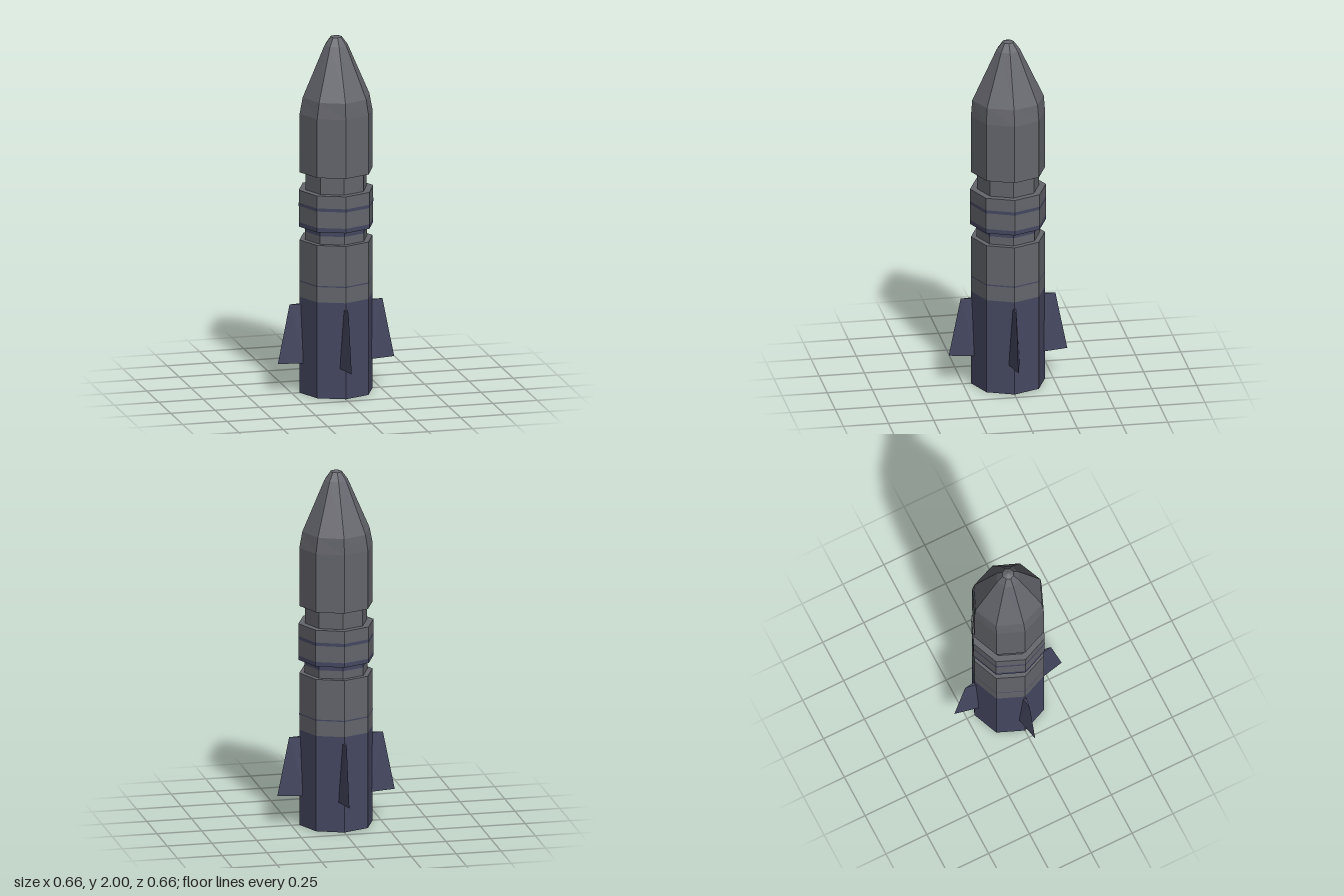
import * as THREE from 'three';
import { ConvexGeometry } from 'three/addons/geometries/ConvexGeometry.js';

const SIDES = 8;

// Eight-sided solid turned from [radius, height] pairs, bottom to top, with hard facets
function turned(name, profile, material) {
  const points = profile.map(([r, y]) => new THREE.Vector2(r, y));
  const geometry = new THREE.LatheGeometry(points, SIDES).toNonIndexed();
  geometry.computeVertexNormals();
  const mesh = new THREE.Mesh(geometry, material);
  mesh.name = name;
  return mesh;
}

// Wedge fin pointing along +z, wider and longer at the bottom
function finGeometry() {
  const corners = [];
  for (const [y, half, reach] of [[0.17, 0.032, 0.328], [0.5, 0.012, 0.262]]) {
    corners.push(
      new THREE.Vector3(-half, y, 0.18),
      new THREE.Vector3(half, y, 0.18),
      new THREE.Vector3(0, y, reach)
    );
  }
  return new ConvexGeometry(corners);
}

export function createModel() {
  const grey = new THREE.MeshStandardMaterial({ color: 0x65666d });
  grey.name = 'hull grey';
  const blue = new THREE.MeshStandardMaterial({ color: 0x454861 });
  blue.name = 'dark blue';

  const rocket = new THREE.Group();
  rocket.name = 'rocket';

  // Engine section and lower hull
  rocket.add(turned('engineSection', [[0, 0], [0.205, 0], [0.205, 0.54]], blue));
  rocket.add(turned('lowerHull', [[0.205, 0.54], [0.205, 0.86], [0.175, 0.86]], grey));
  rocket.add(turned('hullSeam', [[0.2055, 0.626], [0.2055, 0.633]], blue));

  // Recessed lower neck with a painted upper half
  rocket.add(turned('lowerNeck', [[0.175, 0.86], [0.175, 0.905]], grey));
  rocket.add(turned('neckBand', [[0.175, 0.905], [0.175, 0.935]], blue));

  // Collar with painted bottom edge and stripe
  rocket.add(turned('collarEdge', [[0.175, 0.935], [0.21, 0.935], [0.21, 0.96]], blue));
  rocket.add(turned('collar', [[0.21, 0.96], [0.21, 1.14], [0.17, 1.14]], grey));
  rocket.add(turned('collarStripe', [[0.2108, 1.052], [0.2108, 1.07]], blue));

  // Recessed upper neck
  rocket.add(turned('upperNeck', [[0.172, 1.14], [0.172, 1.24]], grey));

  // Upper hull and tapering nose
  const nose = turned('upperHullAndNose', [
    [0.172, 1.24], [0.205, 1.24], [0.205, 1.57], [0.198, 1.66],
    [0.065, 1.945], [0.032, 1.99], [0, 2]
  ], grey);
  // The shoulder ring is slightly narrower from side to side
  const position = nose.geometry.attributes.position;
  for (let i = 0; i < position.count; i++) {
    if (Math.abs(position.getY(i) - 1.66) < 0.01) position.setX(i, position.getX(i) * 0.95);
  }
  nose.geometry.computeVertexNormals();
  rocket.add(nose);

  // Four fins on the hull corners
  const fin = finGeometry();
  ['frontFin', 'leftFin', 'backFin', 'rightFin'].forEach((name, i) => {
    const mesh = new THREE.Mesh(fin, blue);
    mesh.name = name;
    mesh.rotation.y = i * Math.PI / 2;
    rocket.add(mesh);
  });

  return rocket;
}
